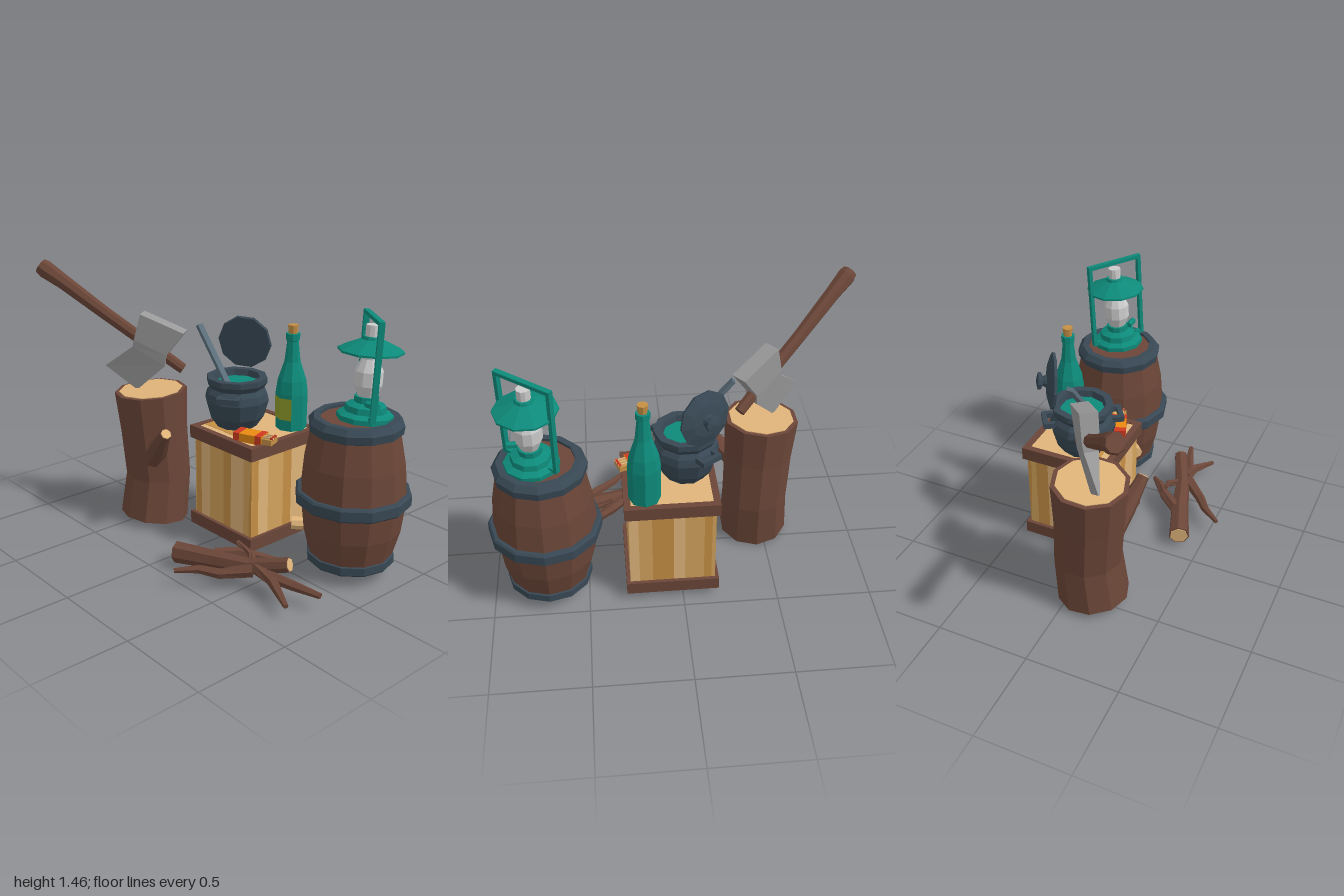
import * as THREE from 'three';

const BARK = 0x6b4638, IRON = 0x384854, TEAL = 0x0d8a7a, PINE = 0xe0b47a, OCHRE = 0xc58f45, STEEL = 0x999999;
const V = (x, y, z) => new THREE.Vector3(x, y, z);
const UP = V(0, 1, 0);

function add(parent, name, geometry, color, x = 0, y = 0, z = 0) {
  const material = new THREE.MeshStandardMaterial({ color, flatShading: true, side: THREE.DoubleSide });
  const mesh = new THREE.Mesh(geometry, material);
  mesh.name = name;
  mesh.position.set(x, y, z);
  parent.add(mesh);
  return mesh;
}

function group(parent, name, x = 0, y = 0, z = 0) {
  const g = new THREE.Group();
  g.name = name;
  g.position.set(x, y, z);
  parent.add(g);
  return g;
}

const box = (w, h, d) => new THREE.BoxGeometry(w, h, d);
const lathe = (pts, sides) => new THREE.LatheGeometry(pts.map(p => new THREE.Vector2(...p)), sides);

// Skin joining equal-sized rings of points, with flat end caps
function loft(rings) {
  const tris = [];
  const n = rings[0].length;
  const centre = ring => ring.reduce((s, p) => s.add(p), V(0, 0, 0)).divideScalar(n);
  const last = rings[rings.length - 1];
  const c0 = centre(rings[0]), c1 = centre(last);
  for (let i = 0; i < n; i++) {
    const k = (i + 1) % n;
    for (let j = 0; j < rings.length - 1; j++) {
      const [a, b] = [rings[j], rings[j + 1]];
      tris.push(a[i], b[i], a[k], a[k], b[i], b[k]);
    }
    tris.push(c0, rings[0][i], rings[0][k], c1, last[k], last[i]);
  }
  const g = new THREE.BufferGeometry().setFromPoints(tris);
  g.computeVertexNormals();
  return g;
}

// Tapered limb through points [x, y, z, radius]; cutColor adds pale sawn ends
function limb(parent, name, pts, sides, color, cutColor) {
  const c = pts.map(p => V(p[0], p[1], p[2]));
  const end = pts.length - 1;
  const turns = c.map((p, i) => {
    const t = c[Math.min(i + 1, end)].clone().sub(c[Math.max(i - 1, 0)]).normalize();
    return new THREE.Quaternion().setFromUnitVectors(UP, t);
  });
  const ring = (i, scale = 1, lift = 0) => Array.from({ length: sides }, (_, k) => {
    const a = k / sides * Math.PI * 2, r = pts[i][3] * scale;
    return V(r * Math.cos(a), lift, r * Math.sin(a)).applyQuaternion(turns[i]).add(c[i]);
  });
  add(parent, name, loft(pts.map((_, i) => ring(i))), color);
  if (cutColor === undefined) return;
  for (const [i, s] of [[0, -1], [end, 1]]) {
    const rings = [ring(i, 0.88), ring(i, 0.88, s * 0.004)];
    add(parent, name + 'CutEnd', loft(s > 0 ? rings : rings.reverse()), cutColor);
  }
}

function buildBarrel(root) {
  const g = group(root, 'barrel', 0.26, 0, 0.705);
  add(g, 'staves', lathe([[0, 0.09], [0.205, 0.09], [0.25, 0.26], [0.27, 0.44], [0.255, 0.62], [0.215, 0.82],
    [0.18, 0.82], [0.18, 0.835], [0, 0.835]], 12), BARK);
  add(g, 'bottomHoop', lathe([[0, 0.075], [0.215, 0.075], [0.225, 0.085], [0.225, 0.125], [0.2, 0.13]], 12), IRON);
  add(g, 'middleHoop', lathe([[0.26, 0.4], [0.285, 0.4], [0.295, 0.41], [0.295, 0.46], [0.285, 0.47], [0.26, 0.47]], 12), IRON);
  add(g, 'topHoop', lathe([[0.215, 0.77], [0.235, 0.78], [0.24, 0.82], [0.215, 0.85], [0.18, 0.85], [0.18, 0.83]], 12), IRON);
  const bung = add(g, 'bung', new THREE.CylinderGeometry(0.035, 0.035, 0.07, 8), PINE, -0.19, 0.26, -0.19);
  bung.quaternion.setFromUnitVectors(UP, V(-0.707, 0, -0.707));
}

function buildLantern(root) {
  const g = group(root, 'lantern', 0.28, 0.84, 0.74);
  g.rotation.z = -0.06;
  add(g, 'lanternBase', lathe([[0, 0], [0.14, 0], [0.14, 0.025], [0.105, 0.04], [0.1, 0.07], [0.06, 0.085], [0.06, 0.115], [0, 0.115]], 10), TEAL);
  add(g, 'glassGlobe', lathe([[0.045, 0.11], [0.07, 0.17], [0.07, 0.24], [0.042, 0.3], [0.042, 0.35]], 10), 0xcccccc);
  add(g, 'hood', lathe([[0.16, 0.335], [0.16, 0.345], [0.05, 0.395], [0.045, 0.41], [0, 0.41]], 10), TEAL);
  add(g, 'chimney', new THREE.CylinderGeometry(0.034, 0.034, 0.06, 10), 0xcccccc, 0, 0.435, 0);
  add(g, 'wickKnob', new THREE.CylinderGeometry(0.018, 0.018, 0.07, 6), TEAL, -0.05, 0.09, 0.08).rotation.x = Math.PI / 2;
  const frame = group(g, 'carryFrame');
  frame.rotation.y = 0.927;
  for (const s of [-1, 1]) {
    add(frame, 'upright', box(0.02, 0.48, 0.028), TEAL, s * 0.155, 0.265, 0);
    add(frame, 'foot', box(0.05, 0.02, 0.028), TEAL, s * 0.14, 0.03, 0);
  }
  add(frame, 'grip', box(0.33, 0.02, 0.028), TEAL, 0, 0.5, 0);
}

function buildCrate(root) {
  const g = group(root, 'crate', 0.185, 0, 0.055);
  const widths = [0.05, 0.07, 0.11, 0.06, 0.1, 0.06];
  const tones = [OCHRE, PINE, 0xd3a35c];
  add(g, 'crateBottom', box(0.45, 0.03, 0.45), PINE, 0, 0.075, 0);
  add(g, 'crateTop', box(0.45, 0.03, 0.45), PINE, 0, 0.61, 0);
  add(g, 'topPlank', box(0.1, 0.01, 0.45), OCHRE, -0.12, 0.622, 0);
  for (let k = 0; k < 4; k++) {
    const side = group(g, 'crateSide');
    side.rotation.y = k * Math.PI / 2;
    let x = -0.225;
    widths.forEach((w, i) => {
      add(side, 'plank', box(w, 0.5, 0.02), tones[(i + k) % 3], x + w / 2, 0.34, 0.215);
      x += w;
    });
    for (const y of [0.085, 0.595]) add(side, 'frameBar', box(0.49, 0.07, 0.035), BARK, 0, y, 0.2275);
  }
}

function buildPot(root) {
  const g = group(root, 'cookingPot', 0.14, 0.63, -0.035);
  add(g, 'potBody', lathe([[0, 0], [0.11, 0], [0.15, 0.06], [0.175, 0.15], [0.165, 0.19], [0.145, 0.215], [0.165, 0.245],
    [0.165, 0.275], [0.125, 0.275], [0.115, 0.22]], 10), IRON);
  add(g, 'stew', new THREE.CylinderGeometry(0.122, 0.122, 0.01, 10), TEAL, 0, 0.235, 0);
  for (const s of [-1, 1]) {
    const ear = group(g, 'potHandle');
    ear.rotation.y = 0.6;
    for (const z of [-0.05, 0.05]) add(ear, 'handlePost', box(0.05, 0.03, 0.025), IRON, s * 0.175, 0.19, z);
    add(ear, 'handleBar', box(0.025, 0.03, 0.12), IRON, s * 0.2, 0.19, 0);
  }
  // Lid propped against the rim
  const lid = add(g, 'lid', lathe([[0, 0], [0.145, 0], [0.15, 0.015], [0.09, 0.035], [0.035, 0.04], [0.025, 0.06], [0.045, 0.07],
    [0.045, 0.085], [0, 0.095]], 10), IRON, 0.12, 0.42, -0.075);
  lid.quaternion.setFromUnitVectors(UP, V(0.84, 0.1, -0.53).normalize());
  const a = V(-0.055, 0.22, 0), b = V(-0.055, 0.515, -0.245);
  const mid = a.clone().add(b).divideScalar(2);
  const ladle = add(g, 'ladle', box(0.035, a.distanceTo(b), 0.02), 0x5b6e7a, mid.x, mid.y, mid.z);
  ladle.quaternion.setFromUnitVectors(UP, b.sub(a).normalize());
}

function buildBottle(root) {
  const g = group(root, 'bottle', 0.33, 0.63, 0.19);
  add(g, 'glass', lathe([[0, 0], [0.083, 0], [0.085, 0.2], [0.075, 0.27], [0.042, 0.37], [0.03, 0.48], [0.037, 0.485], [0.037, 0.52], [0, 0.52]], 8), TEAL);
  add(g, 'cork', new THREE.CylinderGeometry(0.028, 0.022, 0.06, 8), OCHRE, 0, 0.535, 0);
  add(g, 'label', new THREE.CylinderGeometry(0.087, 0.087, 0.12, 2, 1, true, Math.PI * 1.25, Math.PI / 2), 0x8f9a2a, 0, 0.12, 0);
}

function buildMatchbox(root) {
  const g = group(root, 'matchbox', 0.04, 0.648, 0.2);
  g.rotation.y = 0.35;
  add(g, 'sleeve', box(0.09, 0.045, 0.16), 0xe88a12, 0, 0, -0.01);
  for (const z of [-0.075, 0.05]) add(g, 'redBand', box(0.092, 0.047, 0.035), 0xd03a20, 0, 0, z);
  add(g, 'drawer', box(0.075, 0.03, 0.06), OCHRE, 0, -0.003, 0.095);
  for (let i = -1; i <= 1; i++) {
    add(g, 'matchstick', box(0.008, 0.008, 0.07), PINE, i * 0.022, 0.017, 0.095);
    add(g, 'matchHead', box(0.011, 0.011, 0.014), 0xd03a20, i * 0.022, 0.017, 0.12);
  }
}

function buildStumpAndAxe(root) {
  const g = group(root, 'choppingStump');
  limb(g, 'trunk', [[-0.115, 0.035, -0.455, 0.19], [-0.085, 0.28, -0.45, 0.18], [-0.1, 0.55, -0.46, 0.185], [-0.11, 0.775, -0.47, 0.2]], 10, BARK, PINE);
  limb(g, 'branchStub', [[-0.19, 0.42, -0.36, 0.06], [-0.215, 0.5, -0.28, 0.055], [-0.25, 0.6, -0.185, 0.036], [-0.257, 0.635, -0.15, 0.032]], 7, BARK, PINE);

  const axe = group(root, 'axe');
  limb(axe, 'axeHandle', [[0.01, 0.9, -0.33, 0.03], [-0.09, 1.01, -0.46, 0.034], [-0.25, 1.19, -0.68, 0.036],
    [-0.39, 1.355, -0.87, 0.042], [-0.45, 1.42, -0.95, 0.05], [-0.465, 1.437, -0.97, 0.042]], 8, BARK);
  // Head stations from cutting edge to poll: [near x, y, far x, y, half thickness]
  const rings = [[-0.1, 0.765, -0.28, 0.895, 0.004], [0.07, 0.92, -0.11, 1.02, 0.036], [0.08, 0.98, -0.1, 1.06, 0.042], [0.18, 1.11, -0.06, 1.205, 0.045]]
    .map(([nx, ny, fx, fy, t]) => [V(nx, ny, -t), V(nx, ny, t), V(fx, fy, t), V(fx, fy, -t)]);
  add(axe, 'axeHead', loft(rings), STEEL, -0.09, 0, -0.46).rotation.y = -0.927;
}

function buildFirewood(root) {
  const g = group(root, 'fallenBranch');
  limb(g, 'log', [[-0.385, 0.085, 0.09, 0.058], [-0.31, 0.1, 0.3, 0.05], [-0.25, 0.12, 0.5, 0.042], [-0.165, 0.175, 0.69, 0.038]], 7, BARK, PINE);
  const twigs = [
    [[-0.27, 0.12, 0.54, 0.035], [-0.39, 0.1, 0.43, 0.027], [-0.45, 0.11, 0.34, 0.022], [-0.545, 0.105, 0.265, 0.012]],
    [[-0.29, 0.11, 0.28, 0.035], [-0.19, 0.12, 0.36, 0.03], [-0.14, 0.11, 0.43, 0.026], [-0.07, 0.095, 0.51, 0.013]],
    [[-0.2, 0.18, 0.35, 0.012], [-0.185, 0.14, 0.44, 0.02], [-0.25, 0.12, 0.52, 0.025]],
    [[-0.25, 0.13, 0.55, 0.034], [-0.26, 0.11, 0.67, 0.028], [-0.325, 0.07, 0.83, 0.013]],
    [[-0.25, 0.12, 0.62, 0.03], [-0.2, 0.1, 0.75, 0.026], [-0.16, 0.09, 0.895, 0.015]],
  ];
  for (const t of twigs) limb(g, 'twig', t, 6, BARK);
}

export function createModel() {
  const root = new THREE.Group();
  root.name = 'campScene';
  for (const build of [buildBarrel, buildLantern, buildCrate, buildPot, buildBottle, buildMatchbox, buildStumpAndAxe, buildFirewood]) build(root);
  return root;
}
